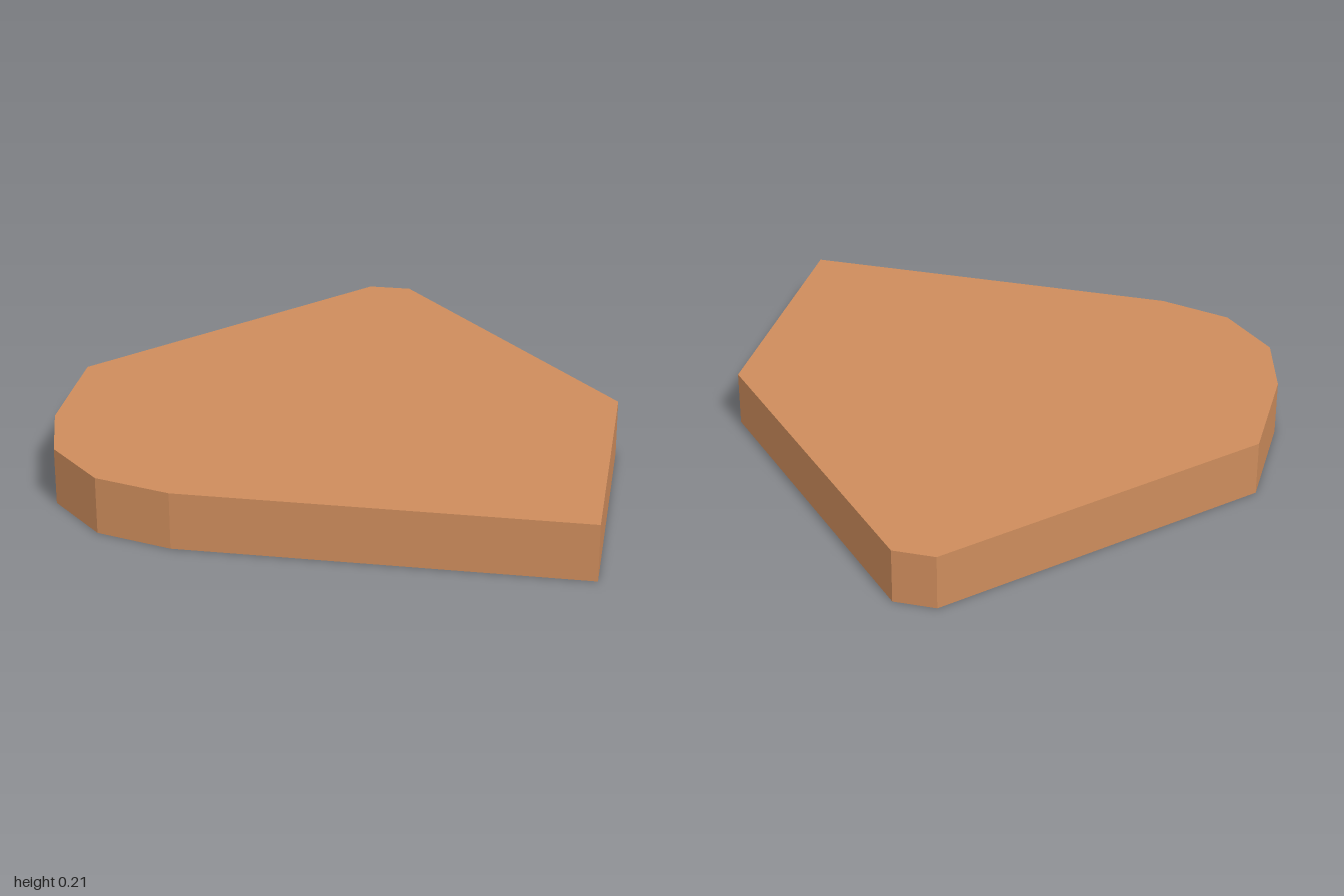
import * as THREE from 'three';

export function createModel() {
  const model = new THREE.Group();
  model.name = 'cornerSlab';

  const terracotta = new THREE.MeshStandardMaterial({ color: 0xcd8c5c, flatShading: true });
  terracotta.name = 'terracotta';

  const height = 0.21;
  const radius = 0.55;
  const segments = 3;

  // Plan outline in (x, z): square front half, tapering to a blunt point at the back
  const outline = [[1, 1], [1, 0], [0.09, -1], [-0.07, -1], [-1, 0]];

  // Faceted round at the front right corner
  for (let i = 0; i <= segments; i++) {
    const a = (i / segments) * Math.PI / 2;
    outline.push([-1 + radius * (1 - Math.cos(a)), 1 - radius * (1 - Math.sin(a))]);
  }

  // Extrude the plan upwards
  const shape = new THREE.Shape(outline.map(([x, z]) => new THREE.Vector2(x, -z)));
  const geometry = new THREE.ExtrudeGeometry(shape, { depth: height, bevelEnabled: false });
  geometry.rotateX(-Math.PI / 2);

  const slab = new THREE.Mesh(geometry, terracotta);
  slab.name = 'slab';
  model.add(slab);
  return model;
}
